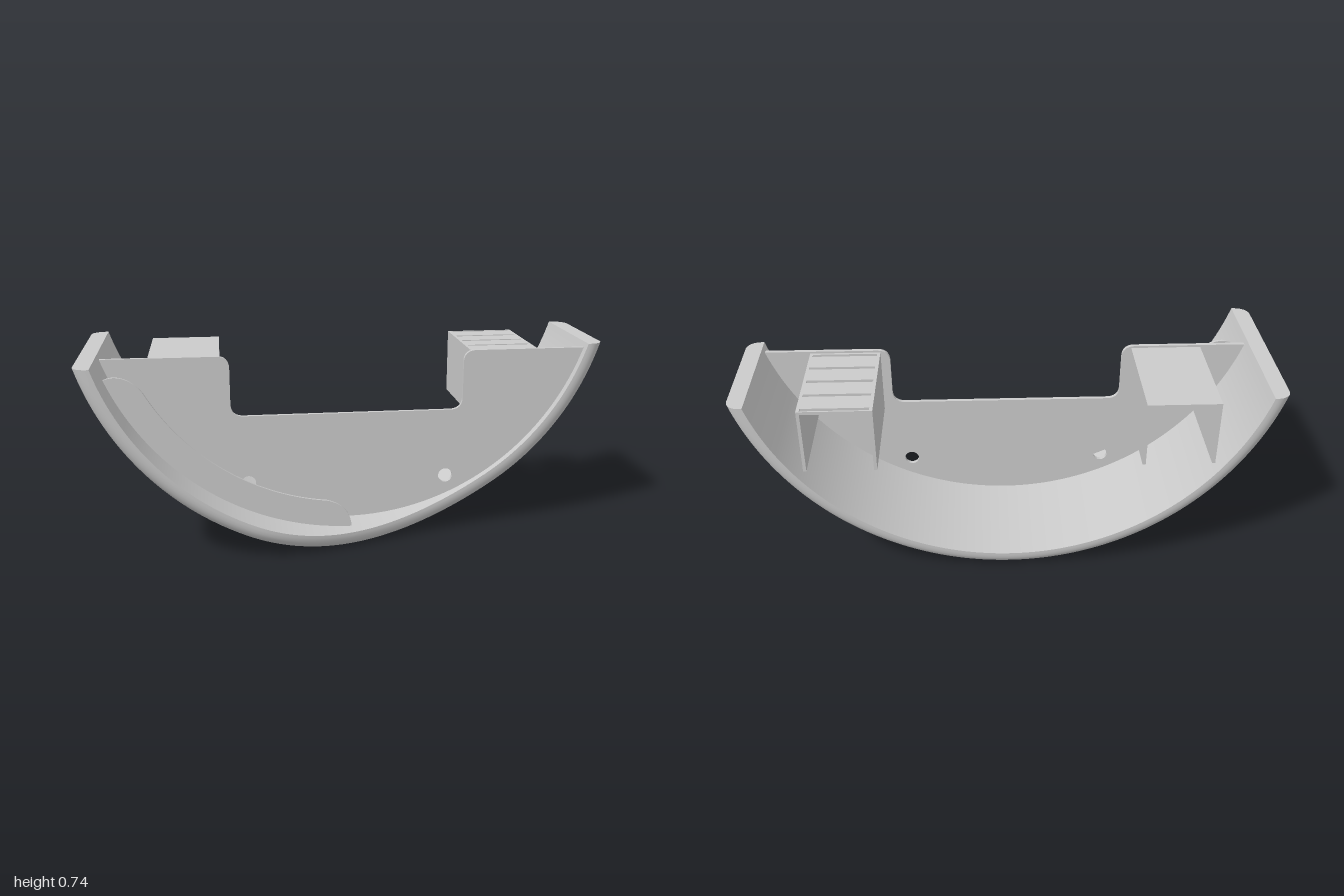
import * as THREE from 'three';
import { toCreasedNormals } from 'three/addons/utils/BufferGeometryUtils.js';

const CY = 1.045, RO = 1.045, RI = 0.985; // shared arc centre height, outer and inner radius
const TOP = 0.74, BACK = -0.357, ROUND = 0.05;
const material = new THREE.MeshStandardMaterial({ color: 0xcccccc, side: THREE.DoubleSide });

function addMesh(parent, name, geometry) {
  const mesh = new THREE.Mesh(toCreasedNormals(geometry, 0.55), material);
  mesh.name = name;
  parent.add(mesh);
  return mesh;
}

// Front lip sweeps from the wide side (-x) to the narrow side (+x)
const frontZ = x => 0.357 - 0.225 * THREE.MathUtils.smoothstep(x, -0.4, 0.58);

// Curved band with rounded outer edges, cut level at the top
function shellGeometry() {
  const segs = 128, positions = [], index = [];
  const section = zf => {
    const pts = [[RI, BACK], [RI, zf]];
    for (let i = 0; i <= 6; i++) {
      const a = i / 6 * Math.PI / 2;
      pts.push([RO - ROUND + ROUND * Math.sin(a), zf - ROUND + ROUND * Math.cos(a)]);
    }
    for (let i = 0; i <= 6; i++) {
      const a = i / 6 * Math.PI / 2;
      pts.push([RO - ROUND + ROUND * Math.cos(a), BACK + ROUND - ROUND * Math.sin(a)]);
    }
    return pts;
  };
  const n = section(0).length;
  for (let s = 0; s <= segs; s++) {
    const t = s / segs * 2 - 1;
    const xOuter = RO * Math.sin(t * Math.acos((CY - TOP) / RO));
    for (const [r, z] of section(frontZ(xOuter))) {
      const a = t * Math.acos((CY - TOP) / r);
      positions.push(r * Math.sin(a), CY - r * Math.cos(a), z);
    }
  }
  for (let s = 0; s < segs; s++) {
    for (let i = 0; i < n; i++) {
      const a = s * n + i, b = s * n + (i + 1) % n;
      index.push(a, b, a + n, b, b + n, a + n);
    }
  }
  // Flat ends
  const e = segs * n;
  for (let i = 1; i < n - 1; i++) {
    index.push(0, i + 1, i, e, e + i, e + i + 1);
  }
  const g = new THREE.BufferGeometry();
  g.setAttribute('position', new THREE.Float32BufferAttribute(positions, 3));
  g.setIndex(index);
  return g;
}

const extrude = (shape, depth, z) => new THREE.ExtrudeGeometry(shape,
  { depth, bevelEnabled: false, curveSegments: 48 }).translate(0, 0, z);

// Upright divider with a rounded notch and two screw holes
function dividerGeometry() {
  const R = RI + 0.008, top = 0.72, low = 0.485, w = 0.452, f = 0.05;
  const a = Math.asin((top - CY) / R);
  const s = new THREE.Shape();
  s.absarc(0, CY, R, Math.PI - a, 2 * Math.PI + a, false);
  s.lineTo(w + f, top);
  s.quadraticCurveTo(w, top, w, top - f);
  s.lineTo(w, low + f);
  s.quadraticCurveTo(w, low, w - f, low);
  s.lineTo(-w + f, low);
  s.quadraticCurveTo(-w, low, -w, low + f);
  s.lineTo(-w, top - f);
  s.quadraticCurveTo(-w, top, -w - f, top);
  s.closePath();
  for (const x of [-0.39, 0.39]) {
    s.holes.push(new THREE.Path().absarc(x, 0.215, 0.028, 0, Math.PI * 2, true));
  }
  return extrude(s, 0.015, 0.084);
}

// Thin crescent rib in front of the divider on the wide side
function ribGeometry() {
  const R = RI + 0.008, r = 0.882;
  const at = (rad, deg) => [rad * Math.sin(deg), CY - rad * Math.cos(deg)];
  const s = new THREE.Shape();
  s.moveTo(...at(R, -1.175));
  s.absarc(0, CY, R, -Math.PI / 2 - 1.175, -Math.PI / 2, false);
  s.bezierCurveTo(0, 0.11, -0.03, 0.152, ...at(r, -0.11));
  s.absarc(0, CY, r, -Math.PI / 2 - 0.11, -Math.PI / 2 - 1.06, true);
  s.bezierCurveTo(-0.81, 0.67, -0.87, 0.69, ...at(R, -1.175));
  return extrude(s, 0.01, 0.198);
}

// Inverted channel, open below and behind; the roof may carry slots
function channel(name, x, slotted) {
  const g = new THREE.Group();
  g.name = name;
  const w = 0.27, t = 0.012, z0 = -0.34, z1 = 0.088, top = 0.712, h = 0.255;
  for (const side of [-1, 1]) {
    const wall = addMesh(g, 'channelWall', new THREE.BoxGeometry(t, h, z1 - z0));
    wall.position.set(x + side * (w - t) / 2, top - h / 2, (z0 + z1) / 2);
  }
  const roof = new THREE.Shape([[-w / 2, -z1], [w / 2, -z1], [w / 2, -z0], [-w / 2, -z0]]
    .map(p => new THREE.Vector2(...p)));
  if (slotted) {
    for (let i = 0; i < 5; i++) {
      const v = 0.326 - i * 0.098, a = w / 2 - 0.007, b = 0.008;
      roof.holes.push(new THREE.Path([[-a, v - b], [-a, v + b], [a, v + b], [a, v - b]]
        .map(p => new THREE.Vector2(...p))));
    }
  }
  const mesh = addMesh(g, 'channelRoof', extrude(roof, t, 0).rotateX(-Math.PI / 2));
  mesh.position.set(x, top - t, 0);
  return g;
}

export function createModel() {
  const model = new THREE.Group();
  model.name = 'curvedHousing';
  addMesh(model, 'curvedShell', shellGeometry());
  addMesh(model, 'divider', dividerGeometry());
  addMesh(model, 'crescentRib', ribGeometry());
  model.add(channel('rightChannel', -0.622, false));
  model.add(channel('leftSlottedChannel', 0.622, true));
  return model;
}
